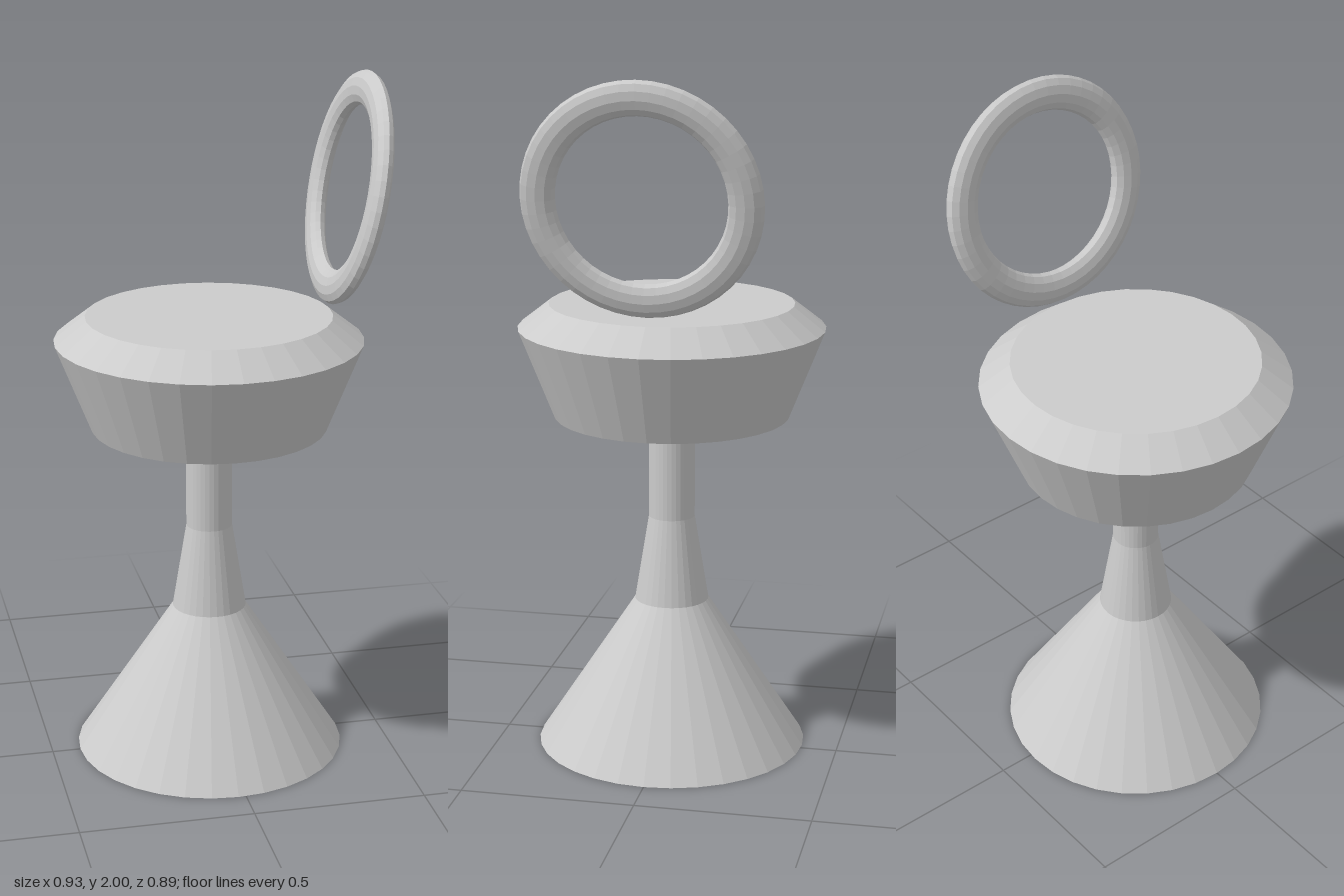
import * as THREE from 'three';

const material = new THREE.MeshStandardMaterial({ color: 0xcccccc, flatShading: true });
const SIDES = 32;
const AXIS_X = -0.022; // the stool axis sits slightly off centre

// Closed faceted solid turned from [radius, y] points
function turned(name, profile) {
  const points = profile.map(([r, y]) => new THREE.Vector2(r, y));
  const mesh = new THREE.Mesh(new THREE.LatheGeometry(points, SIDES), material);
  mesh.name = name;
  mesh.position.x = AXIS_X;
  return mesh;
}

export function createModel() {
  const group = new THREE.Group();
  group.name = 'stool';

  // Conical foot narrowing in two steps to a straight stem
  group.add(turned('pedestal', [
    [0, 0], [0.395, 0], [0.108, 0.438], [0.067, 0.69], [0.067, 0.995],
  ]));

  // Flared seat with a bevelled upper rim
  group.add(turned('seat', [
    [0, 0.995], [0.34, 0.995], [0.443, 1.255], [0.353, 1.325], [0, 1.325],
  ]));

  // Flattened ring, facing sideways and leaning outward
  const geometry = new THREE.TorusGeometry(0.284, 0.049, 12, 48);
  geometry.scale(1, 1, 0.557);
  geometry.rotateY(Math.PI / 2);
  const ring = new THREE.Mesh(geometry, material);
  ring.name = 'backRing';
  ring.position.set(0.38, 1.674, 0);
  ring.rotation.z = THREE.MathUtils.degToRad(-11);
  group.add(ring);

  return group;
}
